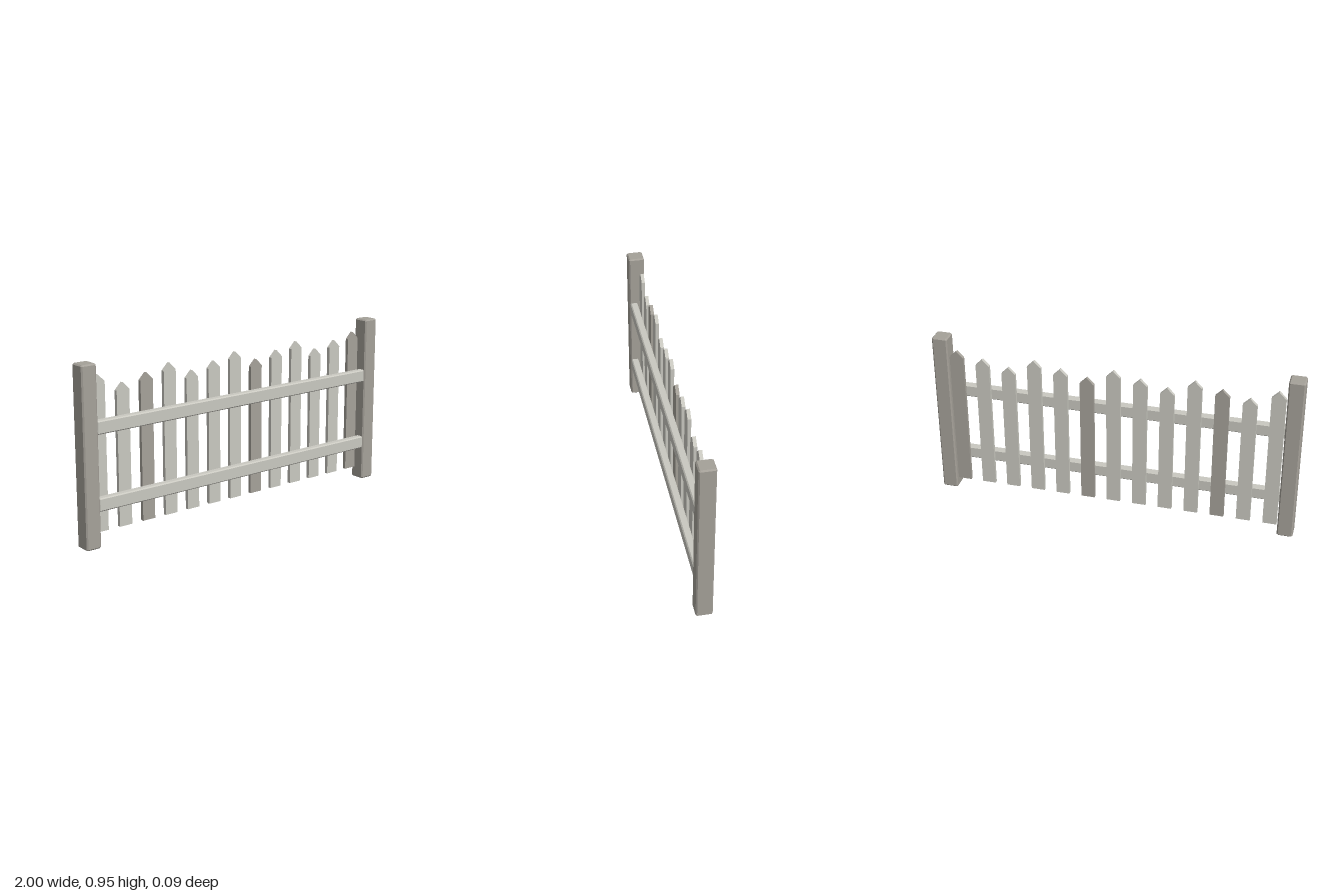
import * as THREE from 'three';

const lightWood = new THREE.MeshStandardMaterial({ color: 0xc9c8c0, flatShading: true });
const darkWood = new THREE.MeshStandardMaterial({ color: 0xa5a199, flatShading: true });

// Beam along z, centred on the origin, with every edge chamfered by c
function chamferedBeam(w, h, length, c) {
  const x = w / 2, y = h / 2;
  const section = new THREE.Shape([
    [x - c, -y], [x, -y + c], [x, y - c], [x - c, y],
    [-x + c, y], [-x, y - c], [-x, -y + c], [-x + c, -y],
  ].map(([a, b]) => new THREE.Vector2(a, b)));
  return new THREE.ExtrudeGeometry(section, {
    depth: length - 2 * c, bevelEnabled: true, bevelSegments: 1,
    bevelSize: c, bevelThickness: c, bevelOffset: -c,
  }).translate(0, 0, c - length / 2);
}

// Flat board with a pointed top
function picketGeometry(width, bottom, tip, pointHeight, back, thickness) {
  const x = width / 2;
  const outline = new THREE.Shape([
    new THREE.Vector2(-x, bottom), new THREE.Vector2(x, bottom),
    new THREE.Vector2(x, tip - pointHeight), new THREE.Vector2(0, tip),
    new THREE.Vector2(-x, tip - pointHeight),
  ]);
  return new THREE.ExtrudeGeometry(outline, { depth: thickness, bevelEnabled: false })
    .translate(0, 0, back);
}

export function createModel() {
  const fence = new THREE.Group();
  fence.name = 'picketFence';

  const add = (name, geometry, material, x = 0, y = 0, z = 0) => {
    const mesh = new THREE.Mesh(geometry, material);
    mesh.name = name;
    mesh.position.set(x, y, z);
    fence.add(mesh);
  };

  // End posts
  const post = chamferedBeam(0.086, 0.088, 0.948, 0.007).rotateX(-Math.PI / 2);
  add('rightPost', post, darkWood, -0.957, 0.474);
  add('leftPost', post, darkWood, 0.957, 0.474);

  // Horizontal rails
  const rail = chamferedBeam(0.041, 0.07, 1.834, 0.006).rotateY(Math.PI / 2);
  add('lowerRail', rail, lightWood, 0, 0.224, 0.0195);
  add('upperRail', rail, lightWood, 0, 0.622, 0.0195);

  // Pickets behind the rails, in three repeating heights, every fifth one darker
  const tips = [0.876, 0.816, 0.846];
  const boards = tips.map((tip) => picketGeometry(0.076, 0.063, tip, 0.038, -0.033, 0.019));
  for (let i = 0; i < 13; i++) {
    add(`picket${i + 1}`, boards[i % 3], i % 5 === 2 ? darkWood : lightWood, (i - 6) * 0.145);
  }

  return fence;
}
